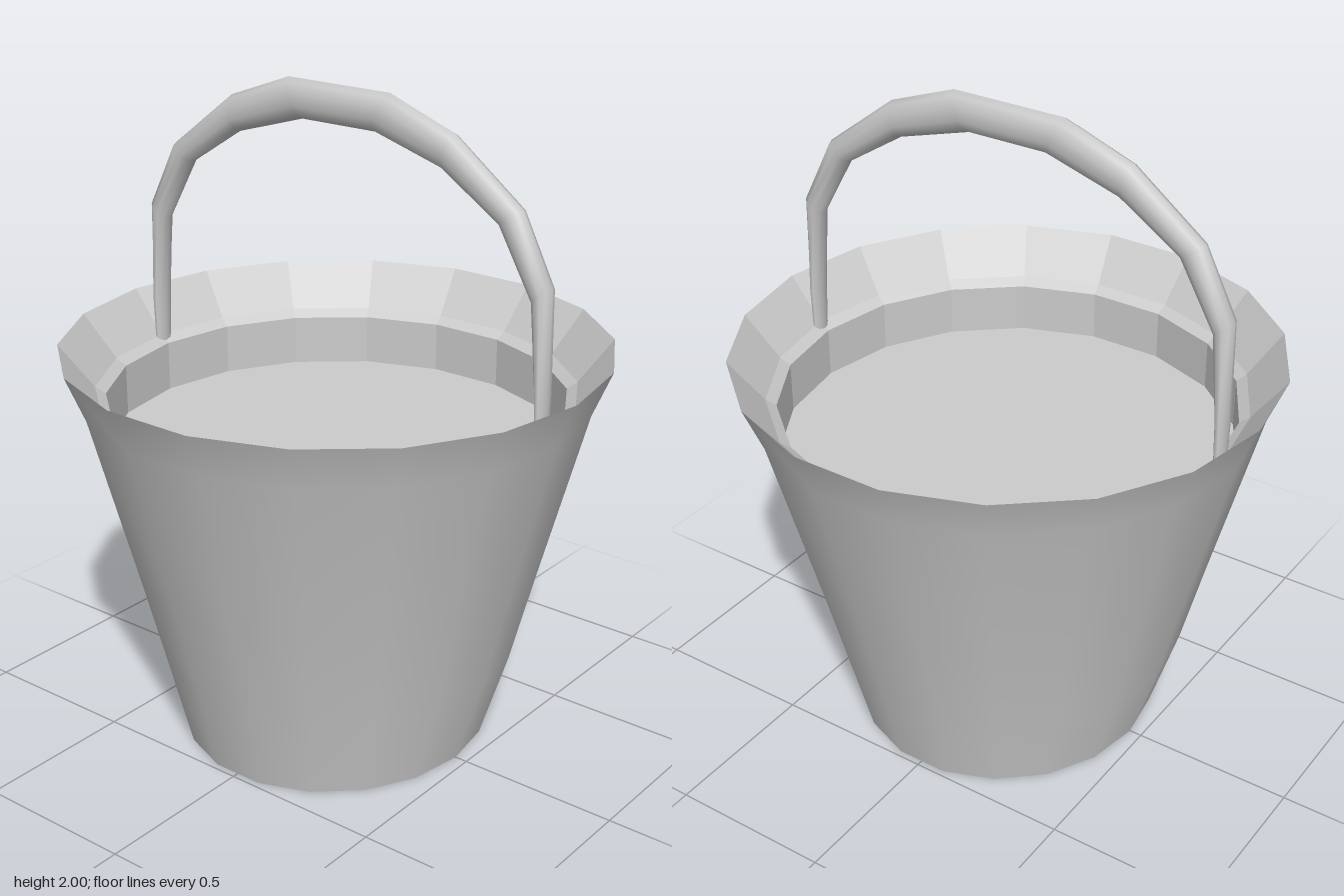
import * as THREE from 'three';

const SIDES = 18;

// Revolved shell with a corner on the x axis
function lathe(profile) {
  const pts = profile.map(([r, y]) => new THREE.Vector2(r, y));
  return new THREE.LatheGeometry(pts, SIDES, Math.PI / 2);
}

// Flat disc facing up or down
function disc(rx, rz, y, up) {
  const g = new THREE.CircleGeometry(1, SIDES);
  g.rotateX(up ? -Math.PI / 2 : Math.PI / 2);
  g.scale(rx, 1, rz);
  g.translate(0, y, 0);
  return g;
}

// Handle: oval rings spanning paired outer and inner edge points [x, y]
function handleGeometry() {
  const half = [
    // outer x, y, inner x, y
    [0.725, 1.09, 0.695, 1.09],
    [0.727, 1.24, 0.692, 1.24],
    [0.725, 1.545, 0.667, 1.5],
    [0.625, 1.745, 0.555, 1.695],
    [0.397, 1.92, 0.367, 1.815],
    [0.18, 2.0, 0.13, 1.885],
  ];
  const rings = [...half, ...half.slice().reverse().map(([a, b, c, d]) => [-a, b, -c, d])];
  const n = 10, pos = [], idx = [];
  rings.forEach(([ox, oy, ix, iy], i) => {
    const end = i === 0 || i === rings.length - 1;
    for (let j = 0; j < n; j++) {
      const a = (j / n) * Math.PI * 2, c = Math.cos(a) / 2;
      pos.push((ox + ix) / 2 + (ox - ix) * c, (oy + iy) / 2 + (oy - iy) * c,
        -0.005 + (end ? 0.03 : 0.036) * Math.sin(a));
      if (i < rings.length - 1) {
        const p = i * n + j, q = i * n + (j + 1) % n;
        idx.push(p, p + n, q, q, p + n, q + n);
      }
    }
  });
  const g = new THREE.BufferGeometry();
  g.setAttribute('position', new THREE.Float32BufferAttribute(pos, 3));
  g.setIndex(idx);
  g.computeVertexNormals();
  return g;
}

export function createModel() {
  const group = new THREE.Group();
  const smooth = new THREE.MeshStandardMaterial({ color: 0xcccccc, side: THREE.DoubleSide });
  const flat = new THREE.MeshStandardMaterial({ color: 0xcccccc, side: THREE.DoubleSide, flatShading: true });
  const add = (name, geometry, material) => {
    const mesh = new THREE.Mesh(geometry, material);
    mesh.name = name;
    group.add(mesh);
  };

  // Flared outer wall, slightly narrowed in x at the foot
  const wall = lathe([[0.488, 0], [0.55, 0.28], [0.618, 0.55], [0.762, 1.1], [0.82, 1.24]]);
  const p = wall.attributes.position;
  for (let i = 0; i < p.count; i++) {
    if (p.getY(i) < 0.01) p.setX(i, p.getX(i) * 0.943);
  }
  add('bucketWall', wall, smooth);
  add('bucketBase', disc(0.46, 0.488, 0, false), flat);

  // Sloping lip, small ledge and inner wall
  add('innerRim', lathe([[0.82, 1.24], [0.716, 1.107], [0.685, 1.085], [0.685, 0.93]]), flat);
  add('contentsSurface', disc(0.685, 0.685, 0.93, true), flat);

  // Arched carrying handle, thickest at the top
  add('handle', handleGeometry(), smooth);
  return group;
}
